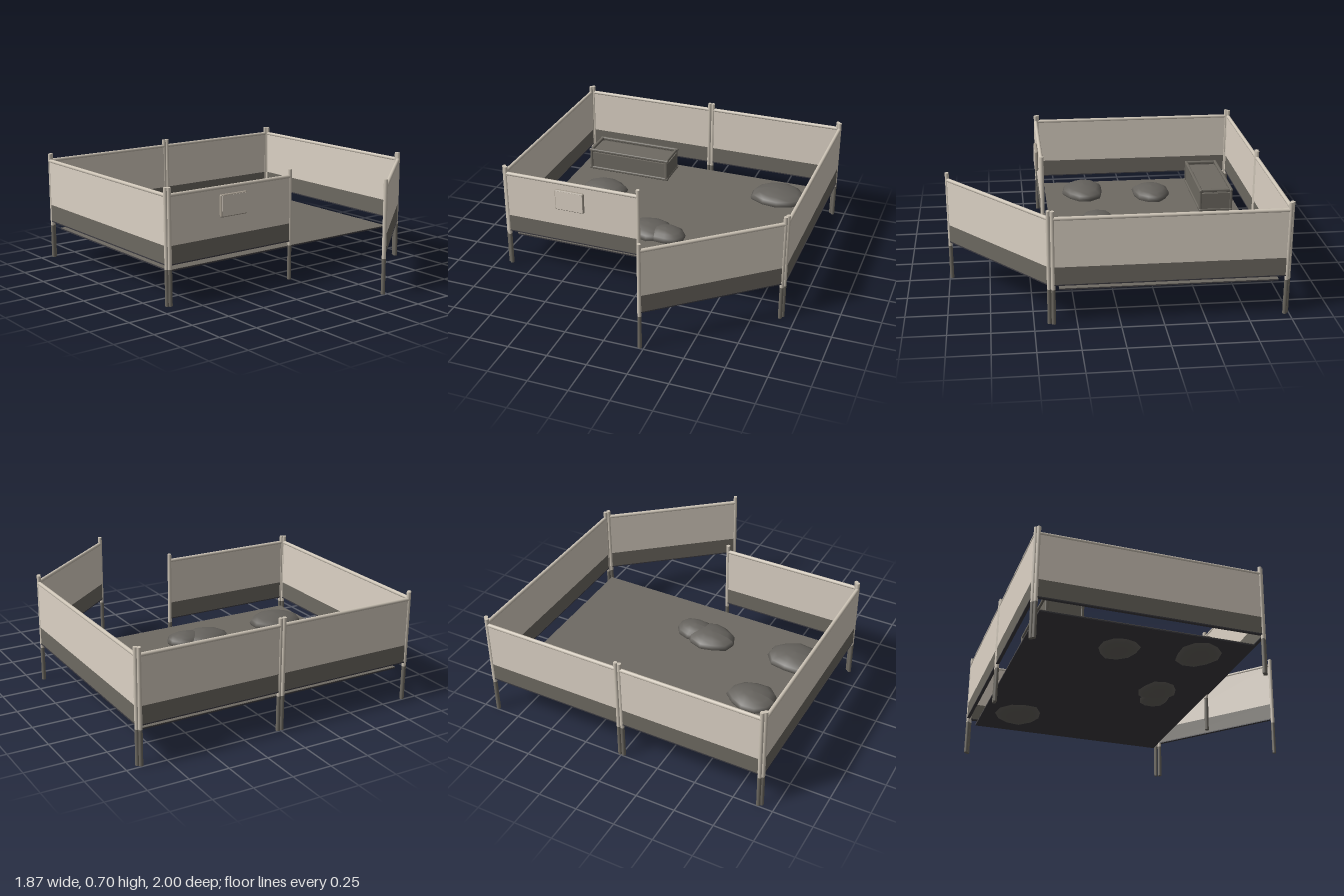
import * as THREE from 'three';
import { RoundedBoxGeometry } from 'three/addons/geometries/RoundedBoxGeometry.js';

const mat = (name, color) => {
  const m = new THREE.MeshStandardMaterial({ color });
  m.name = name;
  return m;
};

export function createModel() {
  const canvas = mat('pale panel', 0xdcd2c5);
  const metal = mat('pole', 0xcdc4b6);
  const trim = mat('board trim', 0xa69d90);
  const dark = mat('dark band', 0x6d6961);
  const ground = mat('ground', 0x6e6a63);
  const stone = mat('stone', 0x65625d);
  const charcoal = mat('charcoal', 0x3c3b40);

  const model = new THREE.Group();
  model.name = 'pen';

  const add = (parent, name, geometry, material, x = 0, y = 0, z = 0) => {
    const mesh = new THREE.Mesh(geometry, material);
    mesh.name = name;
    mesh.position.set(x, y, z);
    parent.add(mesh);
    return mesh;
  };

  // One fence section between two points, with a pole at each end
  const R = 0.0125;
  function fence(name, x1, z1, x2, z2) {
    const g = new THREE.Group();
    g.name = name;
    const len = Math.hypot(x2 - x1, z2 - z1);
    g.position.set((x1 + x2) / 2, 0, (z1 + z2) / 2);
    g.rotation.y = -Math.atan2(z2 - z1, x2 - x1);
    add(g, 'upperPanel', new THREE.BoxGeometry(len, 0.29, 0.016), canvas, 0, 0.505, 0);
    add(g, 'lowerBand', new THREE.BoxGeometry(len, 0.108, 0.016), dark, 0, 0.306, 0);
    add(g, 'bottomHem', new THREE.BoxGeometry(len, 0.007, 0.02), charcoal, 0, 0.2485, 0);
    const rail = add(g, 'topRail', new THREE.CylinderGeometry(0.012, 0.012, len, 12), metal, 0, 0.654, 0);
    rail.rotation.z = Math.PI / 2;
    for (const s of [-1, 1]) {
      add(g, 'post', new THREE.CylinderGeometry(R, R, 0.48, 12), metal, s * len / 2, 0.46, 0);
      add(g, 'postLeg', new THREE.CylinderGeometry(R, R, 0.22, 12), dark, s * len / 2, 0.11, 0);
    }
    model.add(g);
  }
  fence('frontFence', -0.905, 0.398, -0.013, 0.398);
  fence('gate', 0.91, 0.41, 0.224, 0.987);
  for (const s of [-1, 1]) {
    fence('sideFence', s * 0.92, 0.386, s * 0.92, -0.973);
    fence('backFence', s * 0.905, -0.987, s * 0.0125, -0.987);
  }

  // Ground sheet with a charcoal backing
  add(model, 'groundSheet', new THREE.BoxGeometry(1.75, 0.003, 1.29), ground, -0.003, 0.1995, -0.295);
  add(model, 'groundBacking', new THREE.BoxGeometry(1.75, 0.008, 1.29), charcoal, -0.003, 0.194, -0.295);

  // Notice board on the front fence
  add(model, 'boardFrame', new RoundedBoxGeometry(0.195, 0.138, 0.022, 2, 0.009), trim, -0.462, 0.547, 0.418);
  add(model, 'boardFace', new THREE.BoxGeometry(0.181, 0.124, 0.004), canvas, -0.462, 0.547, 0.428);

  // Trough: filled box framed by rounded bars along every edge
  const trough = new THREE.Group();
  trough.name = 'trough';
  trough.position.set(-0.51, 0.2, -0.777);
  model.add(trough);
  add(trough, 'troughBody', new THREE.BoxGeometry(0.584, 0.13, 0.212), dark, 0, 0.065, 0);
  add(trough, 'troughFill', new THREE.BoxGeometry(0.56, 0.004, 0.19), ground, 0, 0.132, 0);
  const bar = (w, h, d) => new RoundedBoxGeometry(w, h, d, 2, 0.007);
  for (const s of [-1, 1]) {
    for (const y of [0.012, 0.15]) {
      add(trough, 'longBar', bar(0.6, 0.02, 0.02), dark, 0, y, s * 0.104);
      add(trough, 'endBar', bar(0.02, 0.02, 0.2), dark, s * 0.285, y, 0);
    }
    for (const t of [-1, 1]) {
      add(trough, 'cornerBar', bar(0.02, 0.15, 0.02), dark, s * 0.285, 0.08, t * 0.104);
    }
  }

  // Flattened, slightly irregular stones half sunk in the ground sheet
  function rock(x, z, rx, rz, phase) {
    const geo = new THREE.SphereGeometry(1, 11, 8);
    const p = geo.attributes.position;
    for (let i = 0; i < p.count; i++) {
      const px = p.getX(i), py = p.getY(i), pz = p.getZ(i);
      const a = Math.atan2(pz, px);
      const flat = Math.hypot(px, pz);
      const k = 1 + flat * (0.05 * Math.sin(3 * a + phase) + 0.03 * Math.sin(5 * a + 2 * phase));
      // Sloping sides below the waist, then a broad shallow cone
      const y = py < 0 ? -0.032 * Math.min(1, -py * 2) - 0.023 * (1 - flat) : py * 0.055;
      p.setXYZ(i, px * k * rx, y, pz * k * rz);
    }
    geo.computeVertexNormals();
    add(model, 'rock', geo, stone, x, 0.216, z);
  }
  rock(0.585, -0.71, 0.19, 0.16, 0.4);
  rock(-0.575, -0.385, 0.157, 0.13, 1.7);
  rock(-0.655, 0.085, 0.182, 0.142, 2.9);
  rock(-0.08, 0.035, 0.16, 0.128, 4.1);
  rock(0.045, 0.06, 0.135, 0.098, 5.3);

  return model;
}
